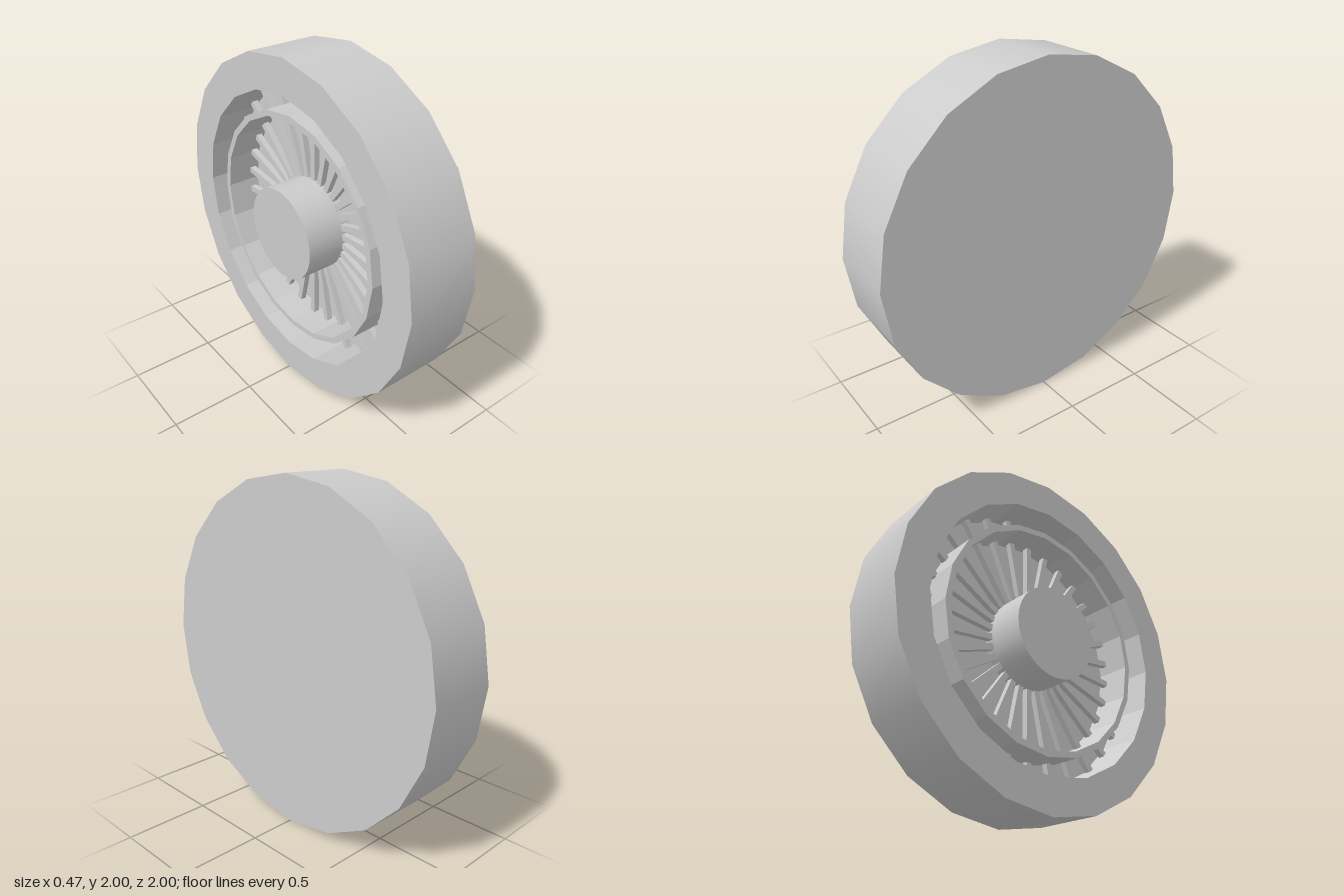
import * as THREE from 'three';

const SIDES = 20;
const smooth = new THREE.MeshStandardMaterial({ color: 0xcccccc });
const faceted = new THREE.MeshStandardMaterial({ color: 0xcccccc, flatShading: true });

// Revolves [radius, x] points; outward faces follow increasing x
function revolve(name, points, sides, material) {
  const profile = points.map(([r, x]) => new THREE.Vector2(r, x));
  const mesh = new THREE.Mesh(new THREE.LatheGeometry(profile, sides), material);
  mesh.rotation.z = -Math.PI / 2; // lathe axis onto x
  mesh.name = name;
  return mesh;
}

export function createModel() {
  const wheel = new THREE.Group();
  wheel.name = 'wheel';
  wheel.position.y = 1;

  const closedX = 0.23, openX = -0.2, floorX = 0.04;
  const holeR = 0.8, hubR = 0.27, hubX = -0.24;

  // Smooth tread around the outside
  wheel.add(revolve('tyreTread', [[1, openX], [1, closedX]], SIDES, smooth));

  // Flat closed side
  wheel.add(revolve('tyreClosedSide', [[1, closedX], [0, closedX]], SIDES, faceted));

  // Open side: cavity floor, hole wall and side wall
  wheel.add(revolve('tyreOpenSide',
    [[0, floorX], [holeR, floorX], [holeR, openX], [1, openX]], SIDES, faceted));

  // Thin rim standing inside the hole
  wheel.add(revolve('rim',
    [[0.65, floorX], [0.65, -0.165], [0.685, -0.165], [0.685, floorX]], SIDES, faceted));

  // Hub barrel and its cap
  wheel.add(revolve('hubBarrel', [[hubR, hubX], [hubR, floorX]], 32, smooth));
  wheel.add(revolve('hubCap', [[0, hubX], [hubR, hubX]], 32, faceted));

  // Radial spokes from the hub to the hole wall
  const spokes = new THREE.Group();
  spokes.name = 'spokes';
  const inner = hubR - 0.03, length = holeR - inner;
  const bar = new THREE.BoxGeometry(0.035, length, 0.035);
  bar.translate(0, inner + length / 2, 0);
  const count = 30;
  for (let i = 0; i < count; i++) {
    const spoke = new THREE.Mesh(bar, faceted);
    spoke.name = 'spoke';
    spoke.rotation.x = (i / count) * Math.PI * 2;
    spokes.add(spoke);
  }
  wheel.add(spokes);

  const model = new THREE.Group();
  model.name = 'spokedWheel';
  model.add(wheel);
  return model;
}
